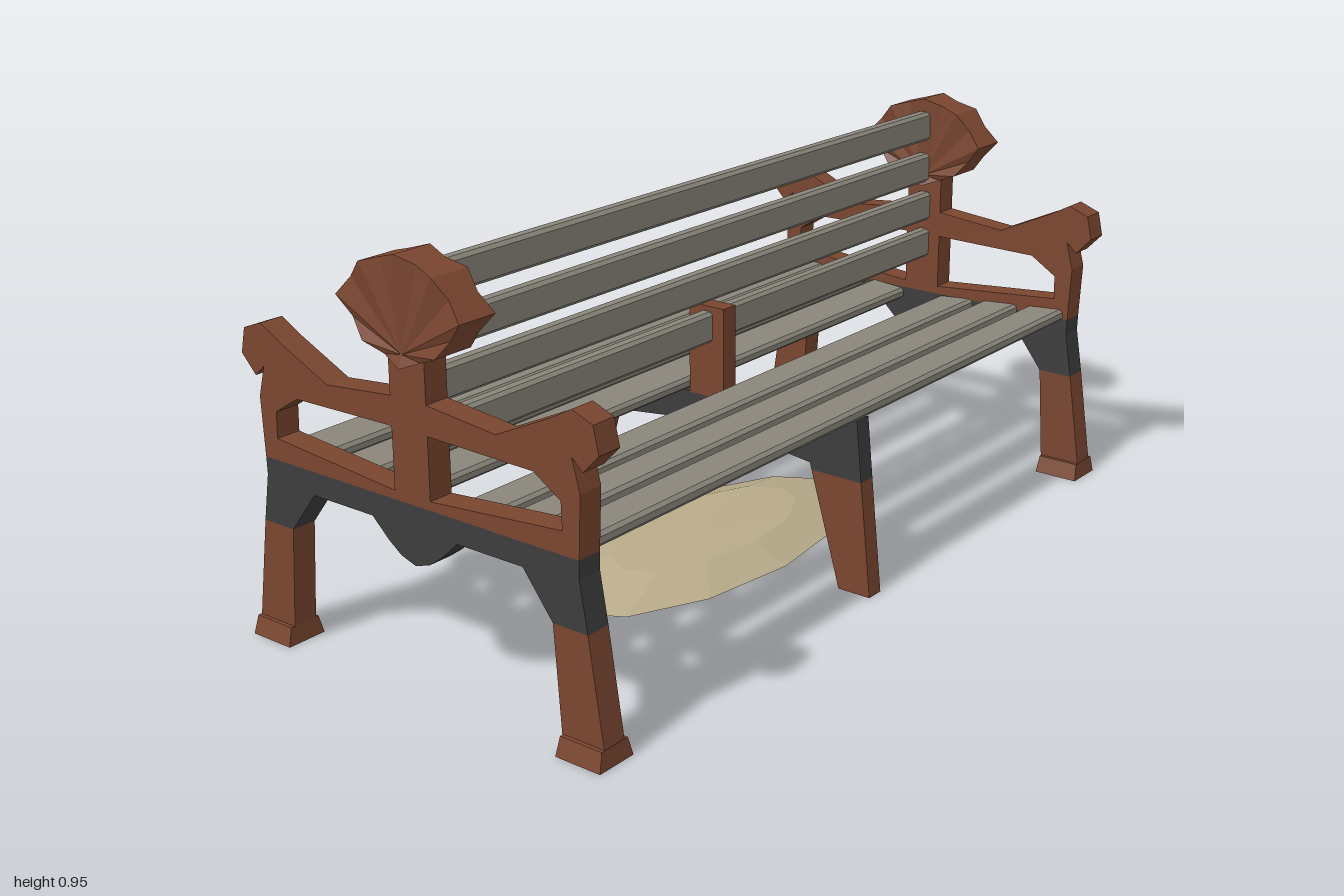
import * as THREE from 'three';

const mat = (name, color) => {
  const m = new THREE.MeshStandardMaterial({ color, flatShading: true });
  m.name = name;
  return m;
};

export function createModel() {
  const rust = mat('rust', 0x7a4630);
  const iron = mat('darkIron', 0x3d3d3e);
  const wood = mat('weatheredWood', 0x8a867b);
  const sand = mat('sand', 0xb8ab8a);
  sand.side = THREE.DoubleSide;

  const bench = new THREE.Group();
  bench.name = 'doubleBench';

  const add = (parent, name, geometry, material) => {
    const mesh = new THREE.Mesh(geometry, material);
    mesh.name = name;
    parent.add(mesh);
    return mesh;
  };
  const toPoints = (list) => list.map(([z, y]) => new THREE.Vector2(z, y));
  // completes a half outline (from z = 0 round to z = 0) on the -z side
  const mirrored = (half) => [...half, ...half.slice().reverse().filter(([z]) => z !== 0).map(([z, y]) => [-z, y])];
  const flip = (list) => list.map(([z, y]) => [-z, y]);
  // side profile in (z, y), extruded along x and centred on x = 0
  const profile = (outline, width, holes = []) => {
    const shape = new THREE.Shape(toPoints(outline));
    holes.forEach((h) => shape.holes.push(new THREE.Path(toPoints(h))));
    const g = new THREE.ExtrudeGeometry(shape, { depth: width, bevelEnabled: false });
    return g.translate(0, 0, -width / 2).rotateY(-Math.PI / 2);
  };

  // pleated shell ornament: ring of ridges and valleys fanned to a low hub
  function shellGeometry() {
    const half = [[0, 0.95], [0.1, 0.92], [0.17, 0.84], [0.1, 0.757], [0, 0.717]];
    const corners = mirrored(half).filter((p, i, a) => a.findIndex((q) => q[0] === p[0] && q[1] === p[1]) === i);
    const ring = [];
    corners.forEach(([z, y], i) => {
      const [z2, y2] = corners[(i + 1) % corners.length];
      ring.push([0.05, y, z]);
      ring.push([0.039, (y + y2) / 2, (z + z2) / 2]);
    });
    const pos = [];
    ring.forEach((a, i) => {
      const b = ring[(i + 1) % ring.length];
      const am = [-a[0], a[1], a[2]], bm = [-b[0], b[1], b[2]];
      pos.push(...a, ...b, 0.04, 0.745, 0);
      pos.push(...bm, ...am, -0.04, 0.745, 0);
      pos.push(...a, ...am, ...b, ...b, ...am, ...bm);
    });
    const g = new THREE.BufferGeometry();
    g.setAttribute('position', new THREE.Float32BufferAttribute(pos, 3));
    g.computeVertexNormals();
    return g;
  }

  // flared foot, narrower at the top
  function footGeometry() {
    const g = new THREE.BoxGeometry(0.1, 0.042, 0.115);
    const p = g.attributes.position;
    for (let i = 0; i < p.count; i++) {
      if (p.getY(i) > 0) p.setXYZ(i, p.getX(i) * 0.78, p.getY(i), p.getZ(i) * 0.93);
    }
    return g.translate(0, 0.021, 0.4425);
  }

  // end frames
  const legOutline = [[0.495, 0.04], [0.459, 0.275], [0.37, 0.275], [0.387, 0.04]];
  const railOutline = mirrored([
    [0, 0.425], [0.441, 0.425], [0.44, 0.385], [0.459, 0.275], [0.37, 0.275],
    [0.295, 0.372], [0.12, 0.372], [0.075, 0.33], [0.04, 0.305], [0, 0.292],
  ]);
  const armOutline = mirrored([
    [0, 0.425], [0.441, 0.425], [0.447, 0.56], [0.428, 0.63], [0.455, 0.605],
    [0.495, 0.647], [0.482, 0.705], [0.43, 0.725], [0.375, 0.695],
    [0.235, 0.63], [0.05, 0.648], [0.05, 0.76], [0, 0.76],
  ]);
  const opening = [[0.4, 0.475], [0.05, 0.445], [0.05, 0.583], [0.33, 0.578], [0.398, 0.535]];
  for (const side of [-1, 1]) {
    const frame = new THREE.Group();
    frame.name = side > 0 ? 'leftEndFrame' : 'rightEndFrame';
    frame.position.x = side * 0.95;
    add(frame, 'armrests', profile(armOutline, 0.06, [opening, flip(opening)]), rust);
    add(frame, 'seatRail', profile(railOutline, 0.06), iron);
    add(frame, 'shellOrnament', shellGeometry(), rust);
    add(frame, 'frontLeg', profile(legOutline, 0.06), rust);
    add(frame, 'backLeg', profile(flip(legOutline), 0.06), rust);
    add(frame, 'frontFoot', footGeometry(), rust);
    add(frame, 'backFoot', footGeometry().rotateY(Math.PI), rust);
    bench.add(frame);
  }

  // middle support
  const middle = new THREE.Group();
  middle.name = 'middleSupport';
  const midLeg = [[0.47, 0], [0.44, 0.275], [0.304, 0.275], [0.385, 0]];
  add(middle, 'frontLeg', profile(midLeg, 0.046), rust);
  add(middle, 'backLeg', profile(flip(midLeg), 0.046), rust);
  add(middle, 'beam', profile(mirrored([
    [0, 0.39], [0.05, 0.39], [0.425, 0.419], [0.44, 0.275], [0.304, 0.275], [0.299, 0.292], [0, 0.327],
  ]), 0.046), iron);
  const post = new THREE.BoxGeometry(0.046, 0.222, 0.1);
  add(middle, 'backPost', post.translate(0, 0.499, 0), rust);
  bench.add(middle);

  // slats with chamfered edges
  const slat = (depth, height) => {
    const z = depth / 2, y = height / 2, c = 0.008;
    return profile([[-z + c, -y], [z - c, -y], [z, -y + c], [z, y - c], [z - c, y], [-z + c, y], [-z, y - c], [-z, -y + c]], 1.85);
  };
  for (const side of [-1, 1]) {
    for (const z of [0.108, 0.241, 0.375]) {
      const m = add(bench, 'seatSlat', slat(0.104, 0.03), wood);
      m.position.set(0, 0.401 + 0.08 * z, side * z);
      m.rotation.x = -side * 0.08;
    }
  }
  for (const y of [0.56, 0.661, 0.767, 0.878]) {
    add(bench, 'backSlat', slat(0.036, 0.075), wood).position.y = y;
  }

  // low faceted sand mound
  const mound = new THREE.LatheGeometry(toPoints([[0, 0], [0.51, 0.003], [0.315, 0.041], [0, 0.05]]), 12);
  mound.scale(1, 1, 0.47).translate(0, 0, -0.02);
  add(bench, 'sandMound', mound, sand);

  return bench;
}
